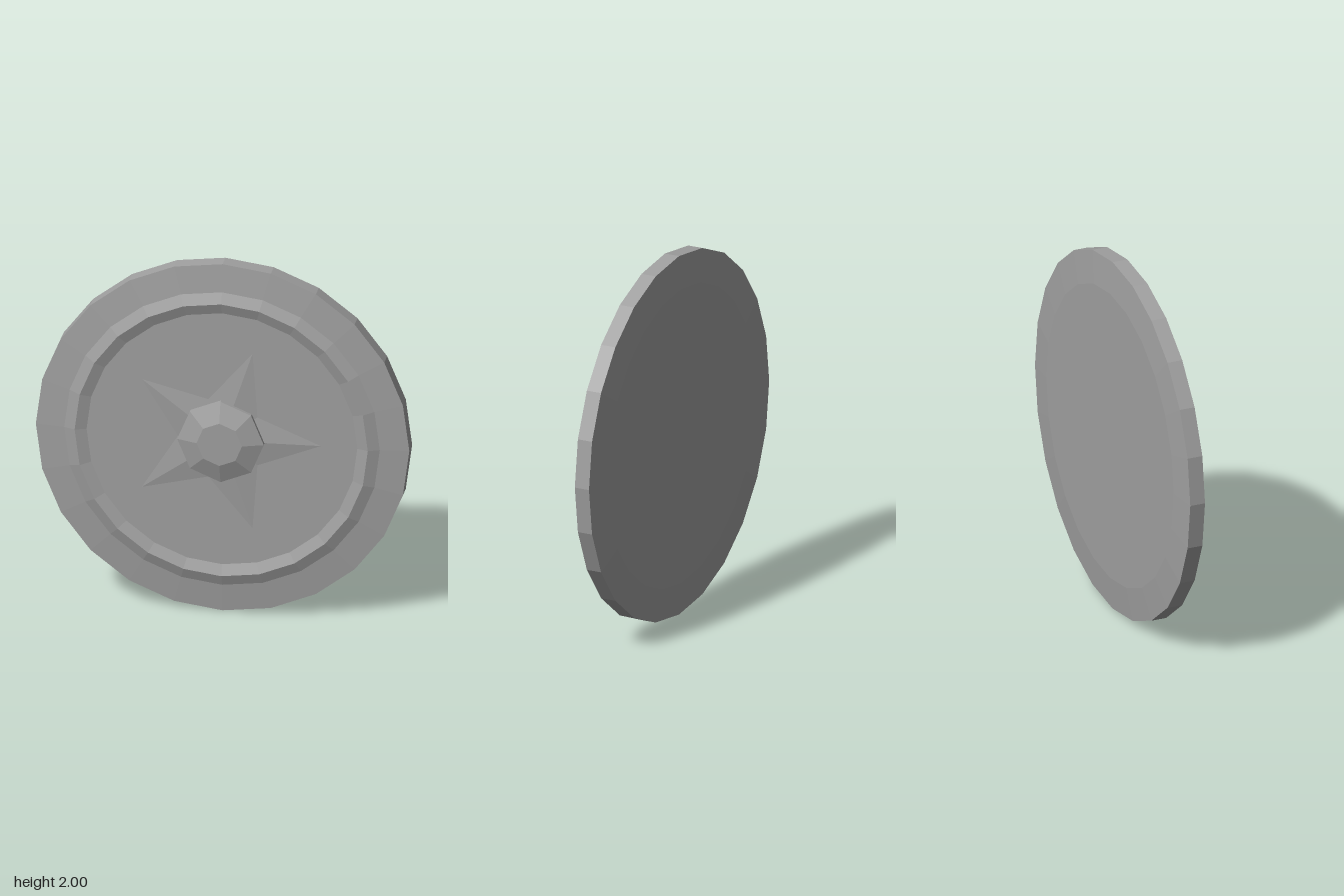
import * as THREE from 'three';

export function createModel() {
  const model = new THREE.Group();
  const grey = new THREE.MeshStandardMaterial({ color: 0xa0a0a0 });
  grey.name = 'grey metal';
  grey.flatShading = true;

  const add = (name, geometry) => {
    const mesh = new THREE.Mesh(geometry, grey);
    mesh.name = name;
    mesh.position.y = 1;
    model.add(mesh);
  };

  // Turned part facing +z; profile is [radius, z] from back to front
  const turned = (profile, sides) =>
    new THREE.LatheGeometry(profile.map(([r, z]) => new THREE.Vector2(r, z)), sides)
      .rotateX(Math.PI / 2).toNonIndexed();

  // Round plate with bevelled back, sloping border, raised ring and recessed face
  add('shieldPlate', turned([
    [0, -0.1], [0.82, -0.1], [1, -0.085], [1, 0],
    [0.845, 0.017], [0.785, 0.041], [0.725, 0.019], [0, 0.019],
  ], 24));

  // Low five-pointed star rising to the centre
  const rim = [];
  for (let i = 0; i < 10; i++) {
    const r = i % 2 ? 0.235 : 0.53;
    const a = (i * Math.PI) / 5;
    rim.push([r * Math.cos(a), r * Math.sin(a), 0.02]);
  }
  const corners = rim.flatMap((p, i) => [0, 0, 0.047, ...p, ...rim[(i + 1) % 10]]);
  const star = new THREE.BufferGeometry();
  star.setAttribute('position', new THREE.Float32BufferAttribute(corners, 3));
  star.computeVertexNormals();
  add('star', star);

  // Eight-sided central boss
  add('boss', turned([[0, 0.042], [0.232, 0.042], [0.232, 0.062], [0.122, 0.1], [0, 0.1]], 8));

  return model;
}
